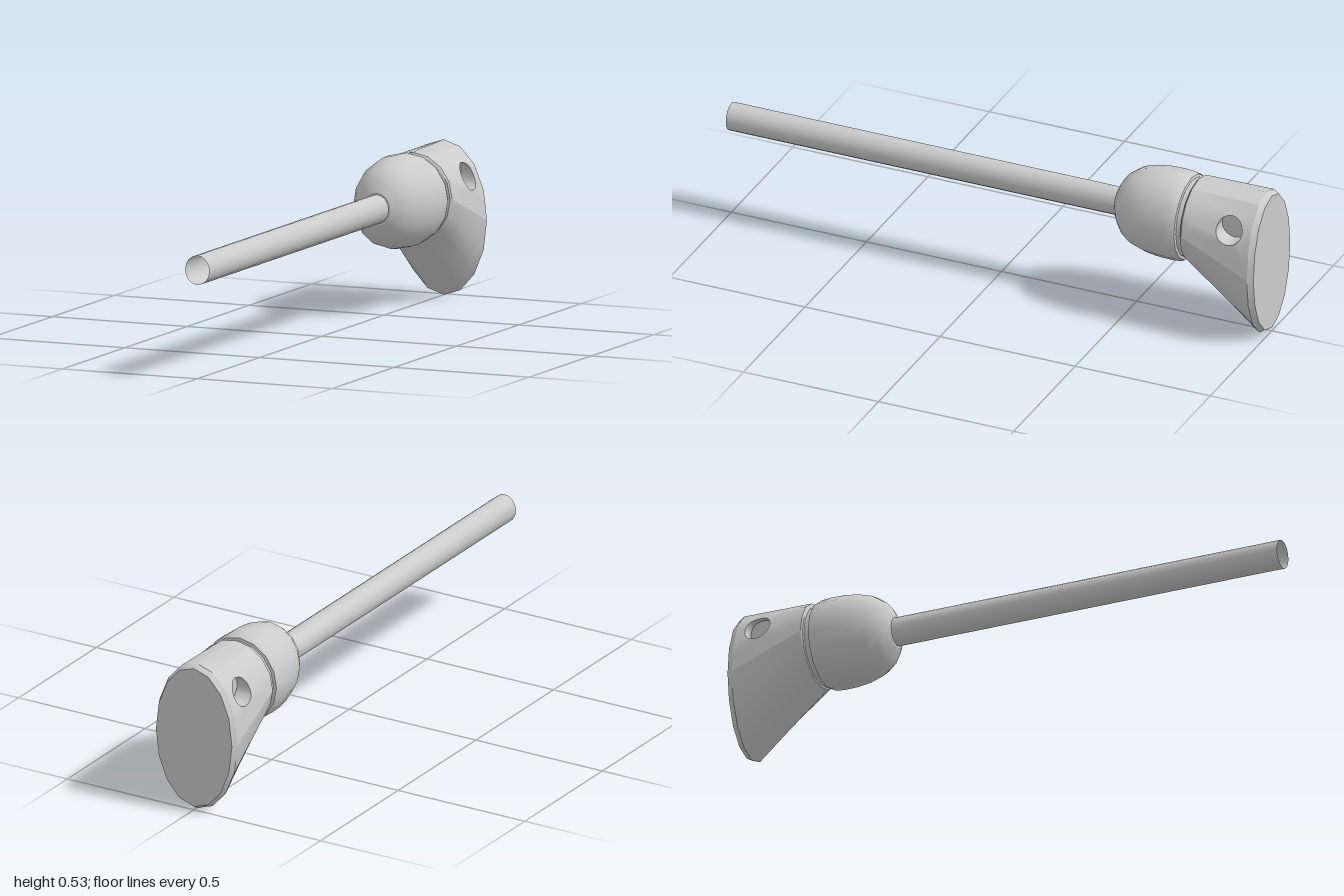
import * as THREE from 'three';
import { toCreasedNormals } from 'three/addons/utils/BufferGeometryUtils.js';

const SIDES = 16;
const AXIS = 0.37; // height of the tube axis
const { lerp } = THREE.MathUtils;
const grey = new THREE.MeshStandardMaterial({ color: 0xcccccc });
const greyDouble = new THREE.MeshStandardMaterial({ color: 0xcccccc, side: THREE.DoubleSide });

// Grid surface from point(i, j); outward when i x j points outward
function grid(ni, nj, point, crease = 0.75) {
  const pos = [], idx = [];
  for (let j = 0; j <= nj; j++) for (let i = 0; i <= ni; i++) pos.push(...point(i, j));
  for (let j = 0; j < nj; j++) for (let i = 0; i < ni; i++) {
    const a = j * (ni + 1) + i, d = a + ni + 1;
    idx.push(a, a + 1, d, a + 1, d + 1, d);
  }
  const g = new THREE.BufferGeometry();
  g.setAttribute('position', new THREE.Float32BufferAttribute(pos, 3));
  g.setIndex(idx);
  return toCreasedNormals(g, crease);
}

// Point on a 16-sided oval section {z, cy, rx, ry}; s counts sides from the top towards +x
function onSection([z, cy, rx, ry], s) {
  const s0 = Math.floor(s), f = s - s0;
  const a = s0 * 2 * Math.PI / SIDES, b = (s0 + 1) * 2 * Math.PI / SIDES;
  return [
    rx * lerp(Math.sin(a), Math.sin(b), f),
    cy + ry * lerp(Math.cos(a), Math.cos(b), f),
    z,
  ];
}

const loft = (sections, from = 0, to = SIDES) =>
  grid(to - from, sections.length - 1, (i, j) => onSection(sections[j], from + i));

// Head runs from a near-round front section to a tall oval back
const HEAD_FRONT = [-0.73, AXIS + 0.002, 0.146, 0.15];
const HEAD_BACK = [-0.98, 0.265, 0.16, 0.265];
const headSection = t => HEAD_FRONT.map((v, k) => lerp(v, HEAD_BACK[k], t));

// Side hole
const HOLE = { y: 0.425, z: -0.9, r: 0.047, floor: 0.08 };

// Section coordinates (s, t) of a rim point at angle phi
function rimCoords(phi) {
  const y = HOLE.y - HOLE.r * Math.cos(phi);
  const z = HOLE.z - HOLE.r * Math.sin(phi);
  const t = (HEAD_FRONT[0] - z) / 0.25;
  const [, cy, , ry] = headSection(t);
  return [Math.acos((y - cy) / ry) * SIDES / (2 * Math.PI), t];
}

export function createModel() {
  const model = new THREE.Group();
  const add = (name, geometry, material = grey, parent = model) => {
    const mesh = new THREE.Mesh(geometry, material);
    mesh.name = name;
    parent.add(mesh);
    return mesh;
  };

  // Open tube with a concave end deep inside
  const tube = [0.045, 0.05];
  add('tube', loft([[1, AXIS, ...tube], [-0.46, AXIS, ...tube]]), greyDouble);
  const cup = [];
  for (let k = 0; k <= 6; k++) {
    const a = k / 6 * Math.PI / 2;
    cup.push([-0.46 - 0.045 * Math.sin(a), AXIS, tube[0] * Math.cos(a), tube[1] * Math.cos(a)]);
  }
  add('tubeEnd', loft(cup), greyDouble);

  // Domed body
  const dome = [
    [-0.44, 0.051, 0.057], [-0.455, 0.075, 0.09], [-0.475, 0.097, 0.115],
    [-0.51, 0.118, 0.14], [-0.56, 0.134, 0.154], [-0.61, 0.142, 0.16],
    [-0.66, 0.146, 0.16], [-0.692, 0.148, 0.156], [-0.703, 0.144, 0.15],
  ].map(([z, rx, ry]) => [z, AXIS, rx, ry]);
  add('domeCollar', loft([[-0.44, AXIS, ...tube], dome[0]]));
  add('dome', loft(dome));

  // Recessed neck between dome and head
  add('neck', loft([
    dome[dome.length - 1], [-0.705, AXIS, 0.133, 0.14],
    [-0.723, AXIS, 0.133, 0.14], [-0.724, AXIS, 0.142, 0.146], HEAD_FRONT,
  ]));

  // Flared head
  const head = new THREE.Group();
  head.name = 'head';
  model.add(head);
  const rows = [0, 1, 2, 3, 4, 5, 6].map(k => headSection(k / 6));
  add('headTop', loft(rows, -1, 1), grey, head);
  add('headUnderside', loft(rows, 4, 12), grey, head);
  const rear = [-1, 0.265, 0.15, 0.253];
  add('rearBevel', loft([HEAD_BACK, rear]), grey, head);
  add('rearFace', loft([rear, [-1, 0.265, 0, 0]]), grey, head);

  // Perimeter of each side panel, six steps per edge, in (s, t)
  const corners = [[1, 0], [4, 0], [4, 1], [1, 1]];
  const border = [];
  corners.forEach((c, k) => {
    const n = corners[(k + 1) % 4];
    for (let m = 0; m < 6; m++) border.push([lerp(c[0], n[0], m / 6), lerp(c[1], n[1], m / 6)]);
  });
  const count = border.length;
  const rim = border.map(([s, t]) => rimCoords(Math.atan2((t - 0.68) * 0.25, (s - 2.53) * 0.085)));

  // Side panels with round blind holes, mirrored
  for (const sign of [1, -1]) {
    const side = sign > 0 ? 'left' : 'right';
    const surface = (s, t) => onSection(headSection(t), sign * s);
    const at = j => (sign > 0 ? j : count - j) % count;
    add(side + 'Panel', grid(4, count, (i, j) => {
      const a = rim[at(j)], b = border[at(j)];
      return surface(lerp(a[0], b[0], i / 4), lerp(a[1], b[1], i / 4));
    }), grey, head);
    add(side + 'HoleWall', grid(1, count, (i, j) => {
      const p = surface(...rim[at(j)]);
      return i ? p : [sign * HOLE.floor, p[1], p[2]];
    }), greyDouble, head);
    const floor = add(side + 'HoleFloor', new THREE.CircleGeometry(HOLE.r, 24), grey, head);
    floor.rotation.y = sign * Math.PI / 2;
    floor.position.set(sign * HOLE.floor, HOLE.y, HOLE.z);
  }

  return model;
}
